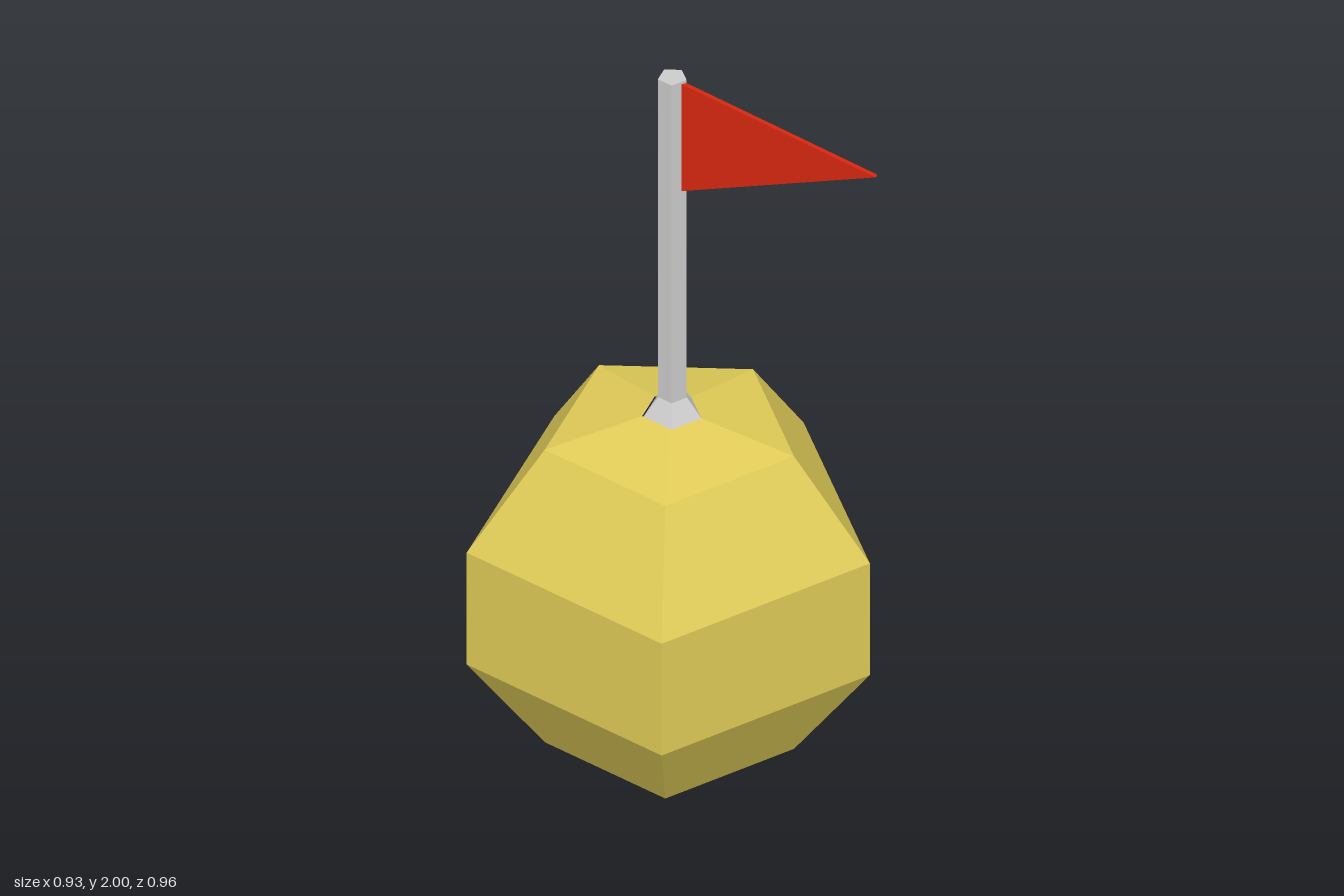
import * as THREE from 'three';

const SIDES = 5;

// Five-sided turned part with one corner pointing to +x; profile runs bottom to top
function turned(name, profile, material, x) {
  const points = profile.map(([r, y]) => new THREE.Vector2(r, y));
  const mesh = new THREE.Mesh(new THREE.LatheGeometry(points, SIDES, Math.PI / 2), material);
  mesh.name = name;
  mesh.position.x = x;
  return mesh;
}

export function createModel() {
  const model = new THREE.Group();
  model.name = 'flaggedBall';

  const yellow = new THREE.MeshStandardMaterial({ color: 0xe0cb57, flatShading: true });
  const grey = new THREE.MeshStandardMaterial({ color: 0xcccccc, flatShading: true });
  const red = new THREE.MeshStandardMaterial({ color: 0xd3260f, flatShading: true });

  // Ball: sphere rings, with the top drawn in to meet the pole foot
  const radius = 0.532, centre = 0.532;
  const rings = [0, 1, 2, 3, 4].map((i) => {
    const a = (i * Math.PI) / 5;
    return [radius * Math.sin(a), centre - radius * Math.cos(a)];
  });
  model.add(turned('ball', [...rings, [0.072, 1.015]], yellow, -0.06));

  // Flared foot where the pole leaves the ball
  model.add(turned('poleFoot', [[0.074, 1.012], [0.036, 1.066]], grey, -0.056));

  // Pole with closed top
  model.add(turned('pole', [[0.036, 1.06], [0.036, 2], [0, 2]], grey, -0.057));

  // Thin triangular pennant
  const outline = new THREE.Shape([
    new THREE.Vector2(-0.035, 1.677),
    new THREE.Vector2(0.465, 1.845),
    new THREE.Vector2(-0.035, 1.995),
  ]);
  const flag = new THREE.Mesh(
    new THREE.ExtrudeGeometry(outline, { depth: 0.012, bevelEnabled: false }), red);
  flag.name = 'flag';
  model.add(flag);

  return model;
}
